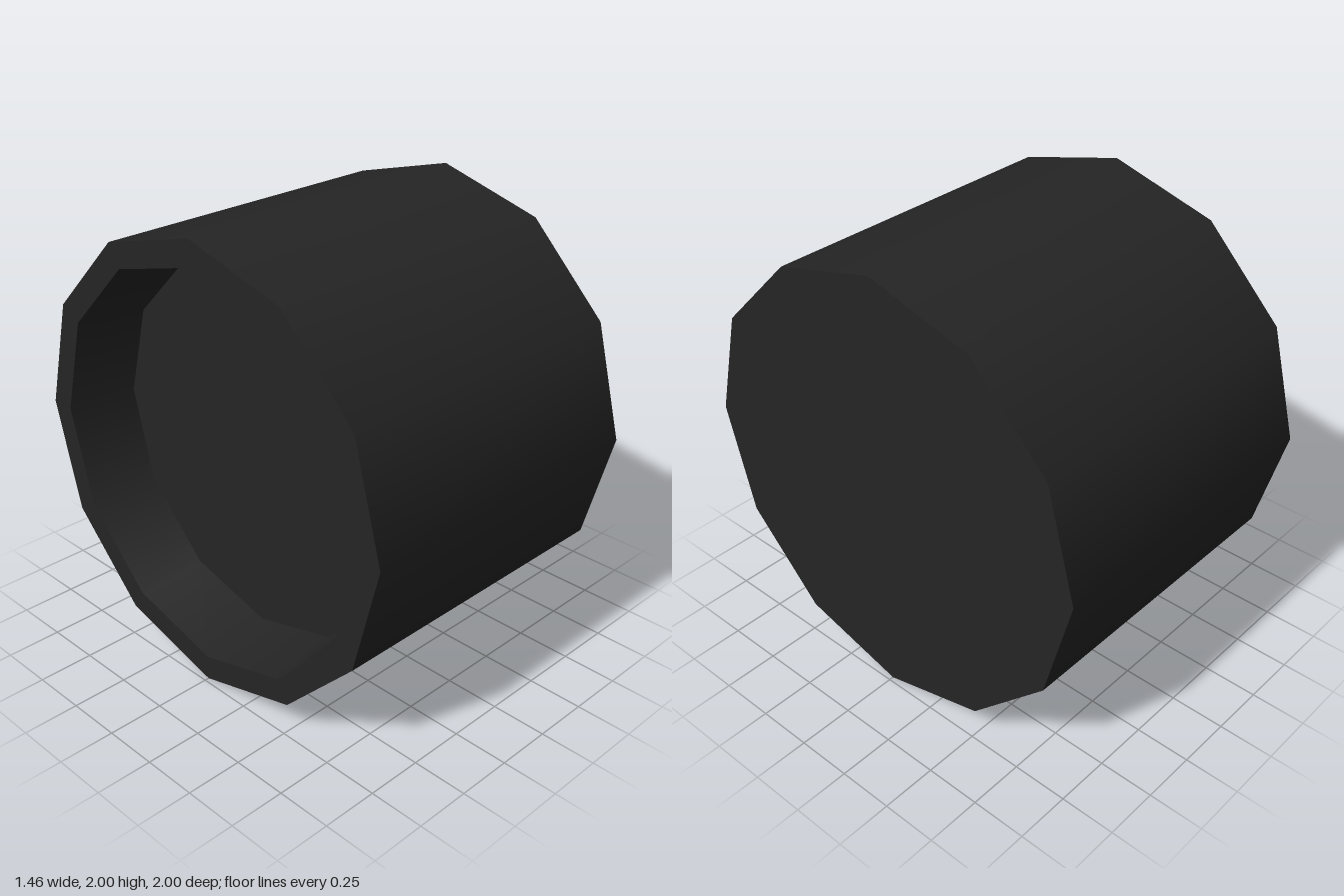
import * as THREE from 'three';

const SIDES = 12;
const HALF = 0.73;      // half the length along x
const FLOOR = -0.41;    // depth position of the recess floor

export function createModel() {
  const group = new THREE.Group();
  group.name = 'drum';
  const black = new THREE.MeshStandardMaterial({ color: 0x252525 });
  black.name = 'black';

  // Each section is one straight piece of the profile, [radius, x] to [radius, x],
  // so the sides are smooth around and every rim stays sharp.
  const sections = {
    recessFloor: [[0, FLOOR], [0.845, FLOOR]],
    recessWall: [[0.845, FLOOR], [0.885, -HALF]],
    openRim: [[0.885, -HALF], [1, -HALF]],
    outerWall: [[1, -HALF], [1, HALF]],
    closedEnd: [[1, HALF], [0, HALF]],
  };

  for (const [name, ends] of Object.entries(sections)) {
    const profile = ends.map(([r, x]) => new THREE.Vector2(r, x));
    const geometry = new THREE.LatheGeometry(profile, SIDES);
    geometry.rotateZ(-Math.PI / 2);  // lay the axis along x
    geometry.translate(0, 1, 0);
    const mesh = new THREE.Mesh(geometry, black);
    mesh.name = name;
    group.add(mesh);
  }
  return group;
}
